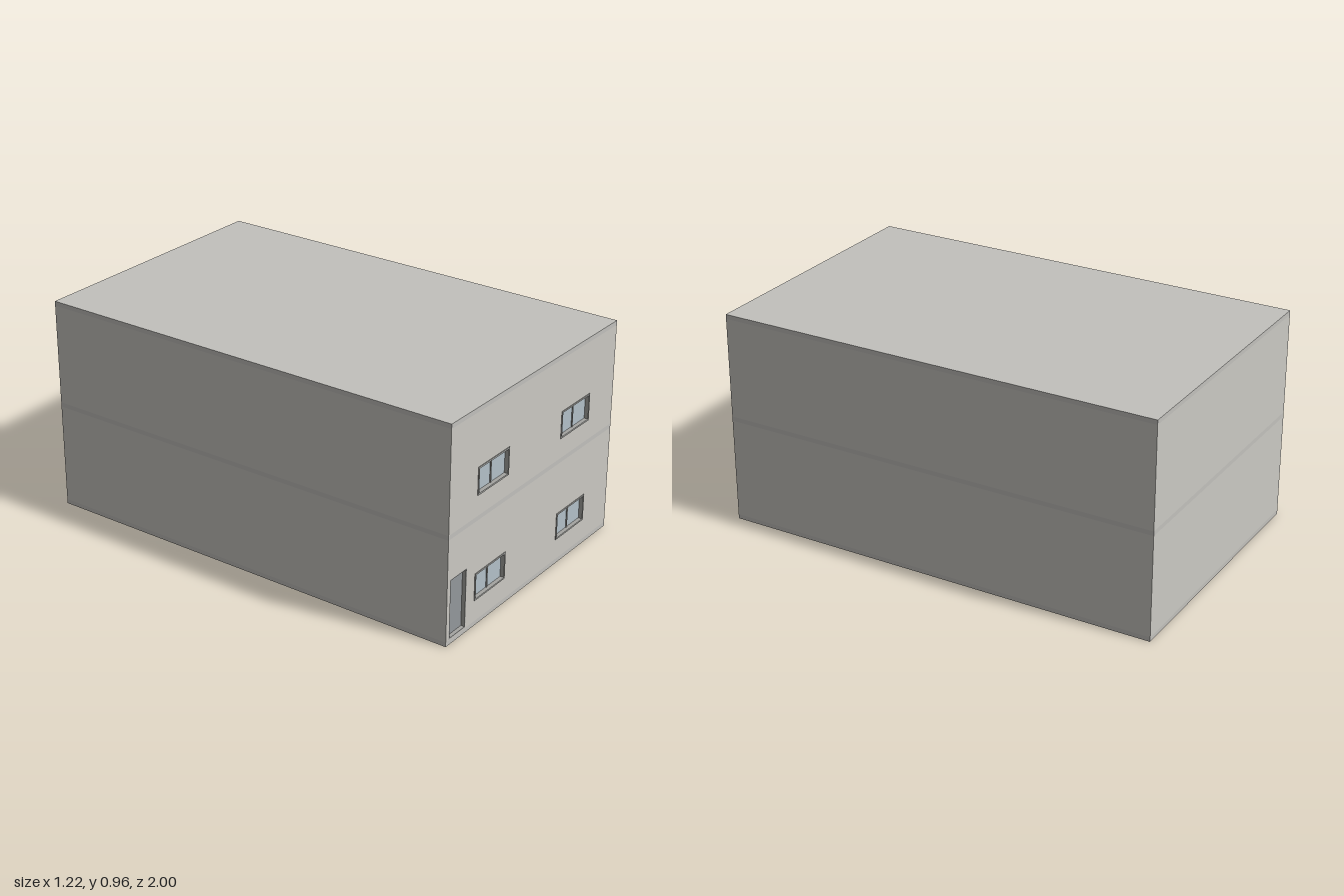
import * as THREE from 'three';

const W = 1.224, D = 1.996, H = 0.957; // building width, depth, height
const FRONT = 0.997, SLAB = 0.02, WALL = 0.04;
const material = (color) => new THREE.MeshStandardMaterial({ color, flatShading: true });

// rectangle outline given by its edges
const rect = (Type, [x0, x1, y0, y1]) =>
  new Type([[x0, y0], [x1, y0], [x1, y1], [x0, y1]].map(([x, y]) => new THREE.Vector2(x, y)));
const inset = ([x0, x1, y0, y1], t) => [x0 + t, x1 - t, y0 + t, y1 - t];

// flat panel with rectangular holes, front face at z
function panel(name, outline, holes, depth, z, mat) {
  const shape = rect(THREE.Shape, outline);
  shape.holes = holes.map((h) => rect(THREE.Path, h));
  const geo = new THREE.ExtrudeGeometry(shape, { depth, bevelEnabled: false });
  const mesh = new THREE.Mesh(geo.translate(0, 0, z - depth), mat);
  mesh.name = name;
  return mesh;
}

export function createModel() {
  const model = new THREE.Group();
  model.name = 'building';
  const wallMat = material(0xcbc9c3), slabMat = material(0xc2c1bd);
  const frameMat = material(0xa5a5a2), glassMat = material(0xb4c1c9), doorMat = material(0x94989c);
  const box = (name, w, h, d, x, y, z, mat) => {
    const mesh = new THREE.Mesh(new THREE.BoxGeometry(w, h, d), mat);
    mesh.position.set(x, y, z);
    mesh.name = name;
    model.add(mesh);
  };

  // ground, middle and roof slabs, flush with the walls
  const levels = [0, 0.469, H - SLAB];
  ['groundSlab', 'middleSlab', 'roofSlab'].forEach((name, i) =>
    box(name, W, SLAB, D, 0, levels[i] + SLAB / 2, FRONT - D / 2, slabMat));

  const door = [-0.593, -0.476, 0.023, 0.29];
  for (let floor = 0; floor < 2; floor++) {
    const y0 = levels[floor] + SLAB, y1 = levels[floor + 1], mid = (y0 + y1) / 2;
    const sill = floor ? 0.58 : 0.115;
    const windows = [-0.418, 0.196].map((x) => [x, x + 0.22, sill, sill + 0.121]);

    // front wall with openings, then the plain side and back walls
    const openings = floor ? windows : [...windows, door];
    model.add(panel('frontWall', [-W / 2, W / 2, y0, y1], openings, WALL, FRONT, wallMat));
    for (const s of [-1, 1])
      box('sideWall', WALL, y1 - y0, D - 2 * WALL, s * (W - WALL) / 2, mid, FRONT - D / 2, wallMat);
    box('backWall', W, y1 - y0, WALL, 0, mid, FRONT - D + WALL / 2, wallMat);

    // two-pane windows: frame slightly proud of the wall, recessed glass
    for (const w of windows) {
      const inner = inset(w, 0.007), cx = (w[0] + w[1]) / 2;
      model.add(panel('windowFrame', w, [inner], 0.03, 1, frameMat));
      model.add(panel('windowGlass', inner, [], 0.006, 0.982, glassMat));
      model.add(panel('windowMullion', [cx - 0.003, cx + 0.003, inner[2], inner[3]], [], 0.01, 0.986, frameMat));
    }
  }

  // door with a thin frame and recessed leaf
  const leaf = inset(door, 0.005);
  model.add(panel('doorFrame', door, [leaf], 0.03, FRONT, frameMat));
  model.add(panel('doorLeaf', leaf, [], 0.01, 0.98, doorMat));
  return model;
}
